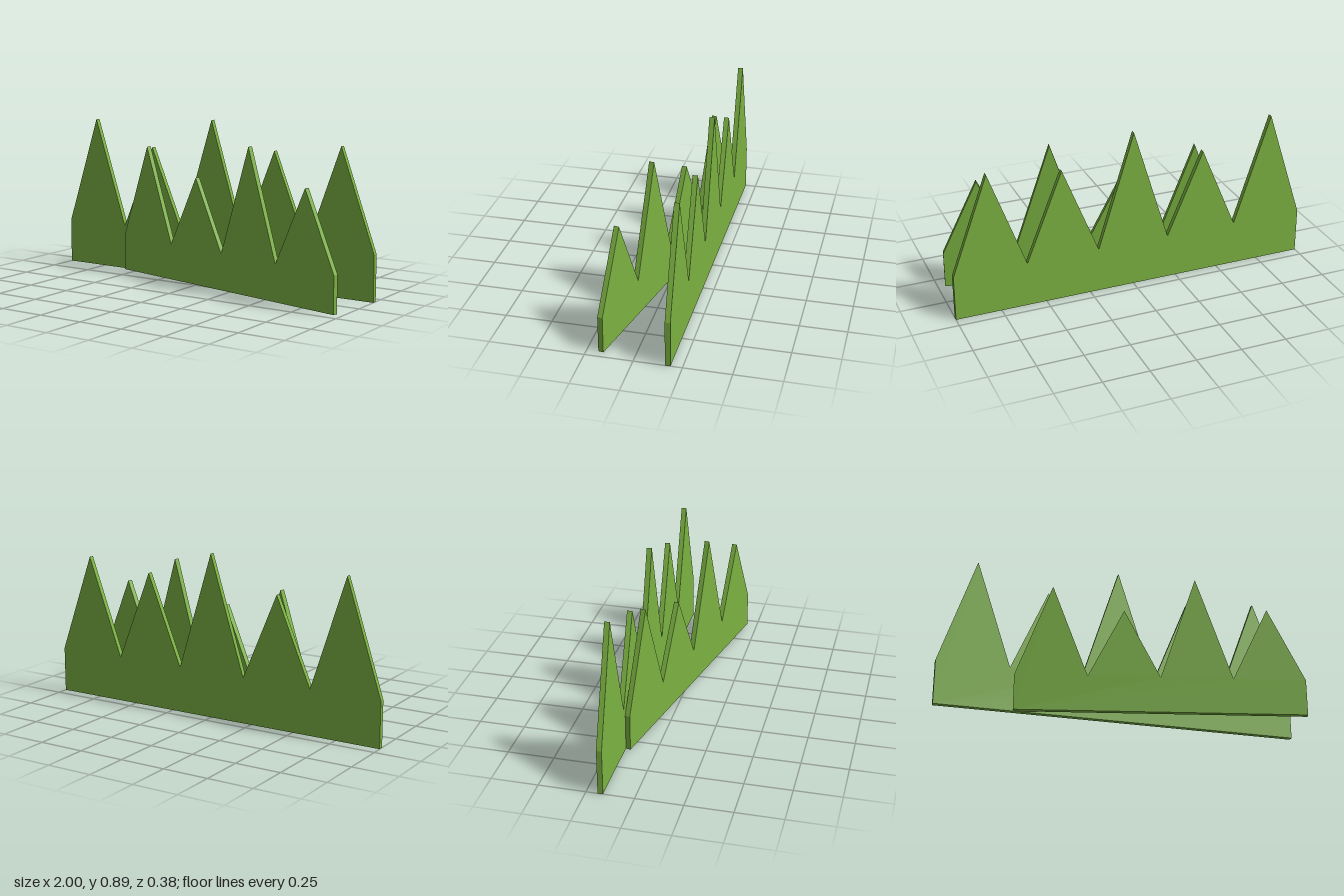
import * as THREE from 'three';

const THICKNESS = 0.028;

// Upright sheet with a row of evenly spaced pointed tips, centred on x and z
function grassSheet(name, length, base, peaks, material) {
  const step = length / peaks.length;
  const shape = new THREE.Shape();
  shape.moveTo(-length / 2, 0);
  shape.lineTo(length / 2, 0);
  shape.lineTo(length / 2, base);
  for (let i = peaks.length - 1; i >= 0; i--) {
    const left = -length / 2 + i * step;
    shape.lineTo(left + step / 2, peaks[i]);
    shape.lineTo(left, base);
  }
  shape.closePath();
  const geometry = new THREE.ExtrudeGeometry(shape, { depth: THICKNESS, bevelEnabled: false });
  geometry.translate(0, 0, -THICKNESS / 2);
  const mesh = new THREE.Mesh(geometry, material);
  mesh.name = name;
  return mesh;
}

export function createModel() {
  const group = new THREE.Group();
  group.name = 'grassTuft';
  const green = new THREE.MeshStandardMaterial({ color: 0x7cb342 });
  green.name = 'grassGreen';

  // Tall sheet along the back
  const back = grassSheet('backGrass', 2, 0.25, [0.86, 0.72, 0.895, 0.75, 0.8], green);
  back.position.z = -0.176;

  // Shorter sheet, turned so its left end comes forward
  const front = grassSheet('frontGrass', 1.57, 0.2, [0.73, 0.592, 0.792, 0.615], green);
  front.position.set(0.19, 0, 0.0135);
  front.rotation.y = -THREE.MathUtils.degToRad(12);

  group.add(back, front);
  return group;
}
